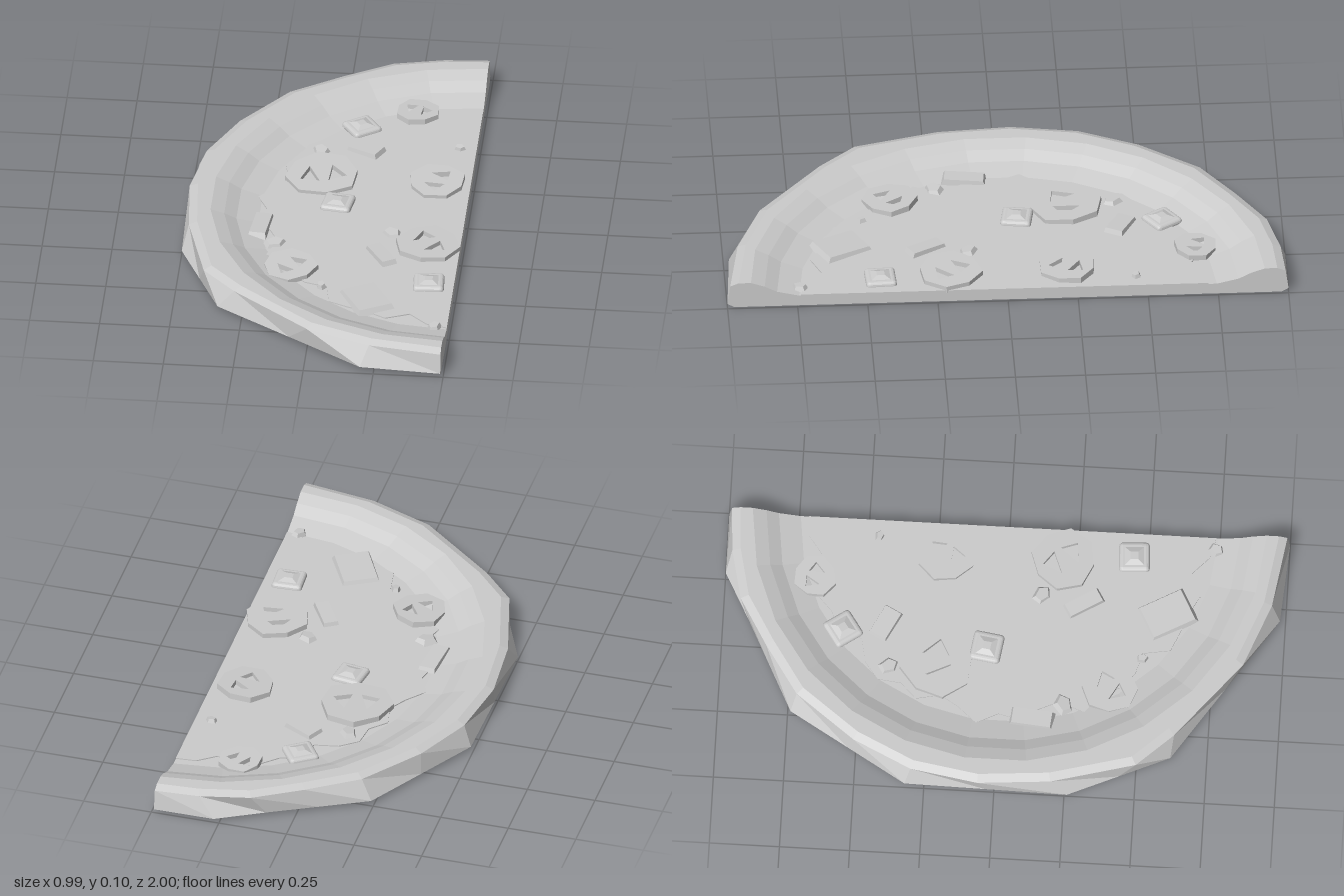
import * as THREE from 'three';
import { RoundedBoxGeometry } from 'three/addons/geometries/RoundedBoxGeometry.js';

const CUT = 0.49; // x of the straight cut; the round centre lies on it

export function createModel() {
  const group = new THREE.Group();
  const mat = new THREE.MeshStandardMaterial({ color: 0xcccccc, flatShading: true });
  const add = (geo, name) => {
    const mesh = new THREE.Mesh(geo, mat);
    mesh.name = name;
    group.add(mesh);
    return mesh;
  };

  // Outlines [x, z]: a coarse one for the foot, a finer one for the rim and an even arc inside
  const foot = [[.49, -1], [.27, -1], [.1, -.91], [-.07, -.825], [-.24, -.74], [-.365, -.53], [-.49, -.32],
    [-.495, -.03], [-.5, .26], [-.42, .44], [-.34, .62], [-.07, .8], [.2, .98], [.49, 1]];
  const rim = [[.49, -.99], [.33, -.98], [.15, -.94], [-.02, -.84], [-.2, -.72], [-.36, -.51], [-.46, -.3],
    [-.5, -.06], [-.48, .2], [-.4, .5], [-.28, .63], [0, .86], [.23, .95], [.49, .99]];
  const arc = rim.map((p, i) => {
    const a = Math.PI * i / (rim.length - 1);
    return [CUT - .97 * Math.sin(a), -.98 * Math.cos(a)];
  });

  // Rings [outline, scale, y] from the middle of the underside over the crust to the middle of the top
  const rings = [[foot, 0, 0], [foot, .975, 0], [foot, 1, .014], [rim, 1, .088], [rim, .97, .1],
    [arc, .935, .1], [arc, .885, .083], [arc, .84, .06], [arc, .76, .041], [arc, 0, .039]];
  const pos = [], idx = [], n = rim.length;
  for (const [line, s, y] of rings)
    for (const [x, z] of line) pos.push(CUT + (x - CUT) * s, y, z * s);
  for (let i = 0; i < rings.length - 1; i++)
    for (let j = 0; j < n - 1; j++) {
      const a = i * n + j, b = a + 1, c = b + n, d = a + n;
      if (i > 0) idx.push(a, b, d);
      if (i < rings.length - 2) idx.push(b, c, d);
      else idx.push(a, b, c);
    }
  // the underside fan starts at a point
  for (let j = 0; j < n - 1; j++) idx.push(j, n + j + 1, n + j);
  const crust = new THREE.BufferGeometry();
  crust.setAttribute('position', new THREE.Float32BufferAttribute(pos, 3));
  crust.setIndex(idx);
  crust.computeVertexNormals();
  add(crust, 'crust');

  // Flat cut face, following the same profile
  const edge = rings.slice(1, -1);
  const half = side => edge.map(([line, s, y]) =>
    new THREE.Vector2(-line[side ? n - 1 : 0][1] * s, y));
  const cut = new THREE.ShapeGeometry(new THREE.Shape([...half(0), ...half(1).reverse()]));
  add(cut.rotateY(Math.PI / 2).translate(CUT, 0, 0), 'cutFace');

  // Flat slab lying on the base: shape is drawn in x and -z
  const slab = (shape, h, y) => new THREE.ExtrudeGeometry(shape, { depth: h, bevelEnabled: false })
    .rotateX(-Math.PI / 2).translate(0, y, 0);

  // Thin cheese layer with a ragged edge
  const ragged = [];
  for (let i = 0; i <= 30; i++) {
    const a = Math.PI * i / 30;
    const r = .715 + .025 * Math.sin(i * 2.4) + .02 * Math.sin(i * 5.1);
    ragged.push(new THREE.Vector2(CUT - r * Math.sin(a), r * Math.cos(a)));
  }
  add(slab(new THREE.Shape(ragged), .009, .036), 'cheese');

  // Eight-sided vegetable slices with two wedge holes: x, z, radius, turn
  for (const [x, z, r, turn] of [[-.04, -.23, .135, .2], [.37, -.22, .105, 1.2], [.375, .2, .118, 2.2],
    [-.1, .39, .1, .8], [.26, -.68, .08, 2.8]]) {
    const ring = [];
    for (let i = 0; i < 8; i++) {
      const a = i * Math.PI / 4, k = i % 3 ? 1 : .92;
      ring.push(new THREE.Vector2(k * r * Math.cos(a), k * r * Math.sin(a)));
    }
    const shape = new THREE.Shape(ring);
    for (const s of [-1, 1])
      shape.holes.push(new THREE.Path([[.12, -.35], [.62, -.2], [.3, .35]]
        .map(([u, v]) => new THREE.Vector2(s * u * r, v * r))));
    const slice = add(slab(shape, .026, 0), 'vegetableSlice');
    slice.position.set(x, .037, z);
    slice.rotation.set(.04 * Math.cos(turn), turn, .04 * Math.sin(turn));
  }

  // Tapered ham pieces: x, z, length, width, angle of the long side
  for (const [x, z, l, w, a] of [[.1, -.42, .13, .075, .48], [-.23, .12, .165, .068, 1.67],
    [.215, .28, .15, .06, 1.03], [.19, .58, .19, .145, 1.08]]) {
    const geo = new THREE.CylinderGeometry(.6, .7071, 1, 4).rotateY(Math.PI / 4).scale(l, .027, w);
    const ham = add(geo, 'hamPiece');
    ham.position.set(x, .047, z);
    ham.rotation.set(0, -a, .03);
  }

  // Rounded cubes with a small raised cap: x, z, turn
  for (const [x, z, turn] of [[.07, -.57, .6], [.03, -.055, -.15], [.4, .45, .05]]) {
    const cube = add(new RoundedBoxGeometry(.11, .03, .11, 2, .014), 'softCube');
    cube.position.set(x, .046, z);
    cube.rotation.y = turn;
    const cap = add(new THREE.CylinderGeometry(.02, .055, .01, 4), 'softCubeCap');
    cap.position.set(x, .064, z);
    cap.rotation.y = turn + Math.PI / 4;
  }

  // Small crumbs: x, z, size, turn
  for (const [x, z, s, turn] of [[-.06, -.4, .07, .5], [.43, -.46, .04, 1.4], [.24, .13, .07, .9],
    [-.17, .23, .075, 2], [.02, .5, .04, .2], [.445, .74, .055, -.5]]) {
    const crumb = add(new THREE.CylinderGeometry(.32, .5, 1, 5).scale(s, .022, s * 1.3), 'crumb');
    crumb.position.set(x, .047, z);
    crumb.rotation.set(.08, turn, .06);
  }

  return group;
}
